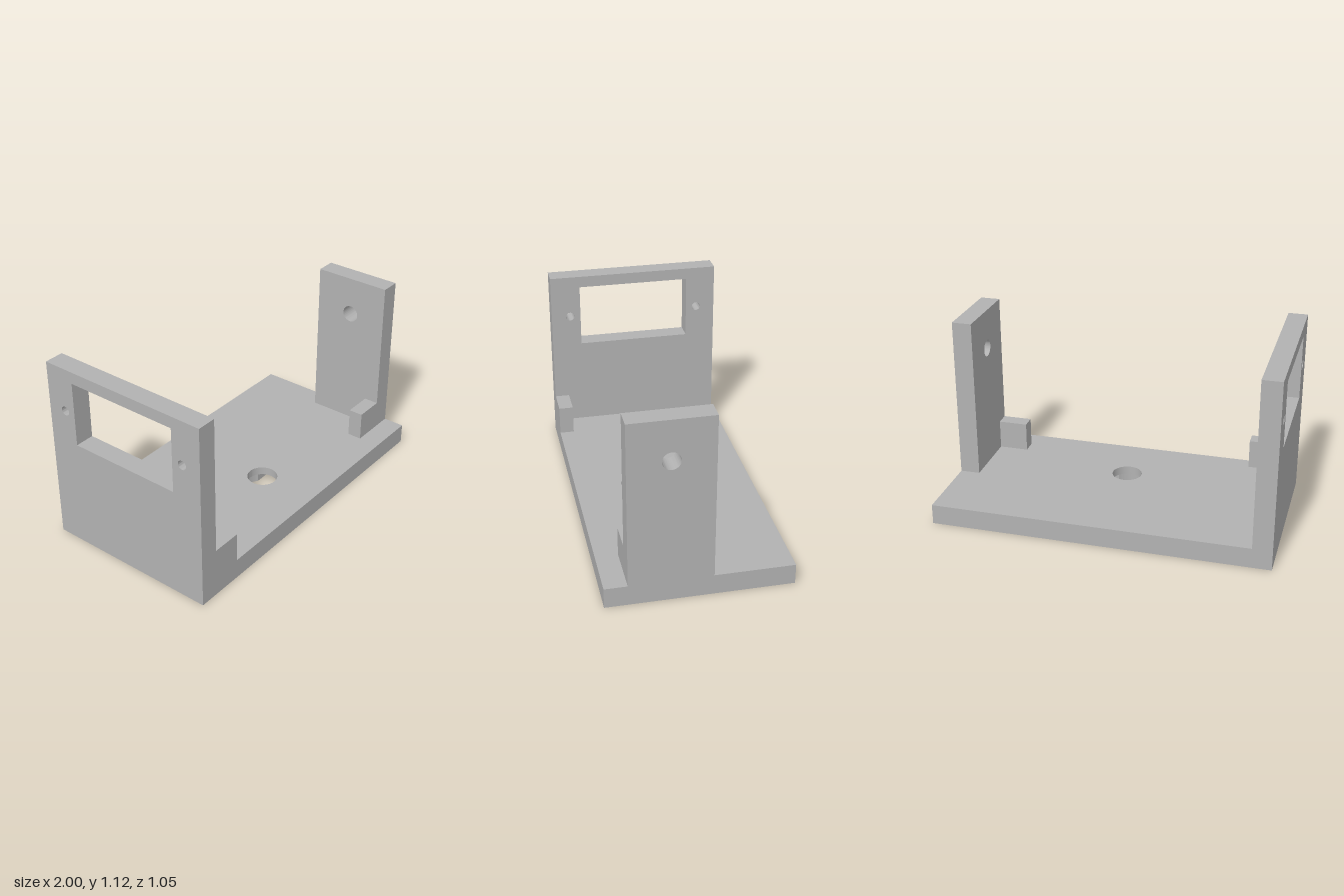
import * as THREE from 'three';
import { toCreasedNormals } from 'three/addons/utils/BufferGeometryUtils.js';

const grey = new THREE.MeshStandardMaterial({ color: 0xb2b2b2 });
grey.name = 'grey';

const HALF_Z = 0.527, BASE = 0.12, RECESS = 0.07;

// closed rectangle, as a Shape or as a Path for a hole
function rect(Type, x0, y0, x1, y1) {
  const p = new Type();
  p.moveTo(x0, y0).lineTo(x1, y0).lineTo(x1, y1).lineTo(x0, y1).closePath();
  return p;
}

function circle(x, y, r) {
  return new THREE.Path().absarc(x, y, r, 0, Math.PI * 2, true);
}

function extrude(shape, depth) {
  return new THREE.ExtrudeGeometry(shape, { depth, bevelEnabled: false, curveSegments: 32 });
}

// shape in (x, -z), rising from height y
function floorPlate(shape, y, depth) {
  return extrude(shape, depth).rotateX(-Math.PI / 2).translate(0, y, 0);
}

// shape in (z, y), running from x0 to x1
function sideWall(shape, x0, x1) {
  return extrude(shape, x1 - x0).rotateY(-Math.PI / 2).translate(x1, 0, 0);
}

function box(x0, x1, y0, y1, z0, z1) {
  return new THREE.BoxGeometry(x1 - x0, y1 - y0, z1 - z0)
    .translate((x0 + x1) / 2, (y0 + y1) / 2, (z0 + z1) / 2);
}

// straight slot with a round boss pocket in the middle
function hornSlot(cy, halfLength, halfWidth, r) {
  const a = Math.asin(halfWidth / r);
  const p = new THREE.Path();
  p.moveTo(halfLength, cy - halfWidth);
  p.lineTo(halfLength, cy + halfWidth);
  p.absarc(0, cy, r, a, Math.PI - a, false);
  p.lineTo(-halfLength, cy + halfWidth);
  p.lineTo(-halfLength, cy - halfWidth);
  p.absarc(0, cy, r, Math.PI + a, 2 * Math.PI - a, false);
  p.closePath();
  return p;
}

export function createModel() {
  const group = new THREE.Group();
  group.name = 'bracket';
  const add = (name, geometry) => {
    const mesh = new THREE.Mesh(toCreasedNormals(geometry, 0.5), grey);
    mesh.name = name;
    group.add(mesh);
  };

  // base in two layers: recessed underside, then the plate with a through hole
  const lower = rect(THREE.Shape, -1, -HALF_Z, 1, HALF_Z);
  lower.holes.push(hornSlot(-0.16, 0.53, 0.092, 0.12));
  add('baseUnderside', floorPlate(lower, 0, RECESS));

  const upper = rect(THREE.Shape, -1, -HALF_Z, 1, HALF_Z);
  upper.holes.push(circle(0, -0.16, 0.09));
  add('baseTop', floorPlate(upper, RECESS, BASE - RECESS));

  // wide wall with a window and two screw holes
  const wide = rect(THREE.Shape, -HALF_Z, BASE, HALF_Z, 1.12);
  wide.holes.push(rect(THREE.Path, -0.344, 0.663, 0.344, 1.05));
  for (const s of [-1, 1]) wide.holes.push(circle(s * 0.41, 0.856, 0.027));
  add('windowWall', sideWall(wide, -1, -0.885));

  // narrow wall with a pivot hole
  const narrow = rect(THREE.Shape, -0.073, BASE, 0.398, 1.092);
  narrow.holes.push(circle(0.163, 0.856, 0.051));
  add('pivotWall', sideWall(narrow, 0.882, 1));

  // stiffening blocks at the foot of each wall
  add('windowWallBlock', box(-0.885, -0.708, BASE, 0.297, 0.44, HALF_Z));
  add('pivotWallBlock', box(0.705, 0.882, BASE, 0.297, 0.31, 0.398));

  return group;
}
